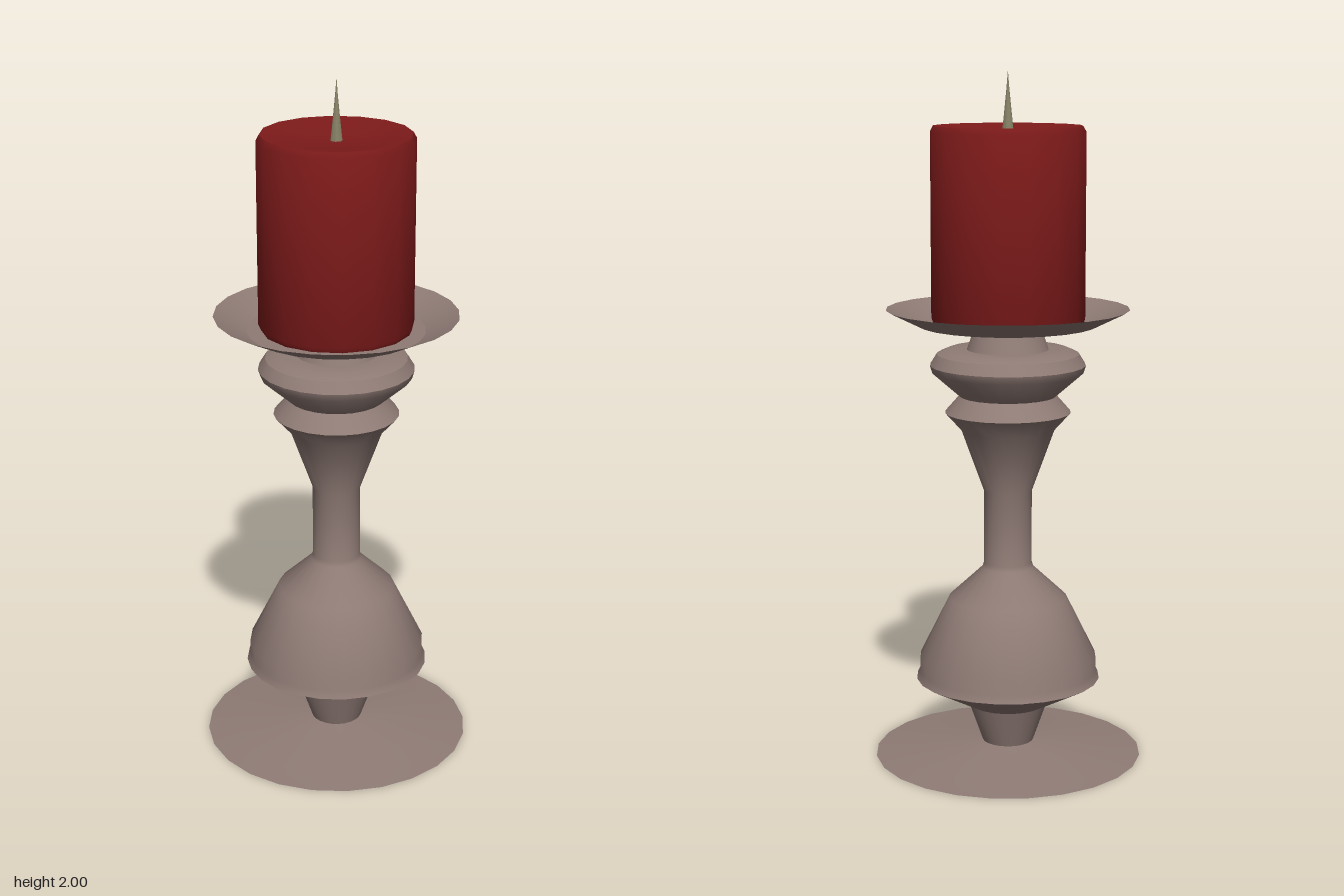
import * as THREE from 'three';
import { toCreasedNormals } from 'three/addons/utils/BufferGeometryUtils.js';

// Turned part from a [radius, height] profile listed from bottom to top
function turned(name, profile, sides, color, crease = 0.6) {
  const points = profile.map(([r, y]) => new THREE.Vector2(r, y));
  const geometry = toCreasedNormals(new THREE.LatheGeometry(points, sides), crease);
  const material = new THREE.MeshStandardMaterial({ color, side: THREE.DoubleSide });
  const mesh = new THREE.Mesh(geometry, material);
  mesh.name = name;
  return mesh;
}

export function createModel() {
  const group = new THREE.Group();
  group.name = 'candlestick';
  const wood = 0x8f7b75, wax = 0x7d1a1a, metal = 0x8a8468;

  // Thin flared foot, open in the middle
  group.add(turned('foot', [[0.392, 0], [0.31, 0.007], [0.075, 0.036]], 24, wood));

  // Turned stem with its bulb, shaft and collars
  group.add(turned('stem', [
    [0.075, 0.036], [0.115, 0.15],
    [0.27, 0.233], [0.26, 0.255], [0.26, 0.297],
    [0.172, 0.475], [0.075, 0.565], [0.07, 0.58],
    [0.07, 0.795], [0.135, 0.975], [0.182, 1.027],
    [0.14, 1.075], [0.218, 1.143], [0.225, 1.165],
    [0.205, 1.197], [0.175, 1.21], [0.118, 1.21], [0.093, 1.28],
  ], 24, wood));

  // Drip tray, a thin dish with a hole at the neck
  group.add(turned('dripTray', [[0.11, 1.28], [0.255, 1.28], [0.35, 1.327]], 24, wood, 0.4));

  // Candle with a slightly hollowed top
  group.add(turned('candle', [
    [0, 1.284], [0.215, 1.284], [0.222, 1.3], [0.222, 1.828],
    [0.213, 1.845], [0.15, 1.838], [0.1, 1.828], [0, 1.825],
  ], 16, wax, 1.1));

  // Pointed pricket rising through the wax
  group.add(turned('pricket', [[0.017, 1.825], [0.012, 1.87], [0.004, 1.95], [0, 2]], 12, metal));

  return group;
}
